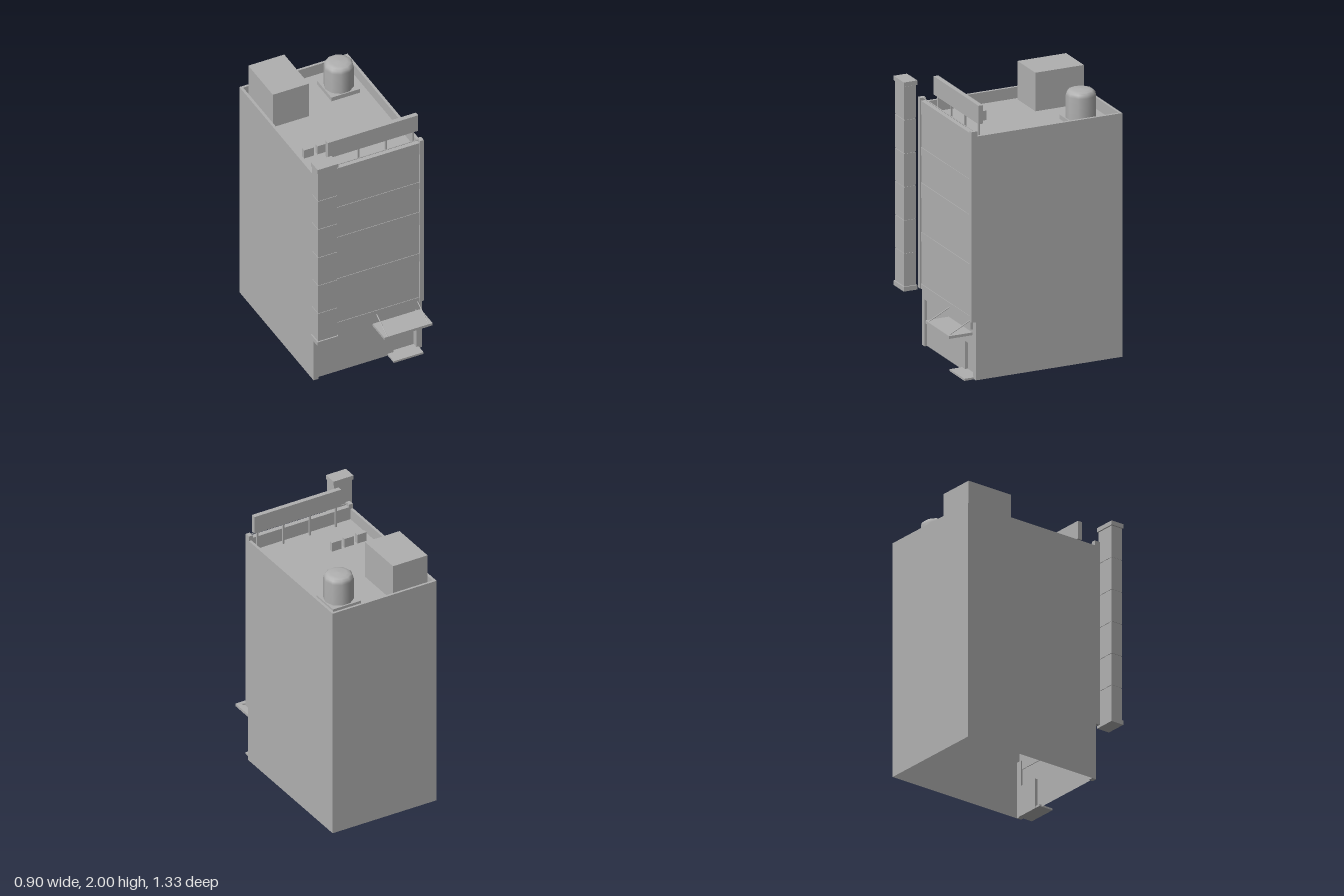
import * as THREE from 'three';

const grey = new THREE.MeshStandardMaterial({ color: 0xb0b0b0, side: THREE.DoubleSide });
grey.name = 'concrete grey';

export function createModel() {
  const root = new THREE.Group();
  root.name = 'officeBuilding';

  const add = (name, geo, parent = root) => {
    const m = new THREE.Mesh(geo, grey);
    m.name = name;
    parent.add(m);
    return m;
  };
  // box given by its extents
  const box = (name, x0, x1, y0, y1, z0, z1, parent) => {
    const m = add(name, new THREE.BoxGeometry(x1 - x0, y1 - y0, z1 - z0), parent);
    m.position.set((x0 + x1) / 2, (y0 + y1) / 2, (z0 + z1) / 2);
    return m;
  };
  // thin round bar between two points
  const bar = (name, a, b, r, parent) =>
    add(name, new THREE.TubeGeometry(new THREE.LineCurve3(a, b), 1, r, 6), parent);
  // upright single-sheet wall between two ground points
  const wall = (name, xa, za, xb, zb, y0, y1) => {
    const m = add(name, new THREE.PlaneGeometry(Math.hypot(xb - xa, zb - za), y1 - y0));
    m.position.set((xa + xb) / 2, (y0 + y1) / 2, (za + zb) / 2);
    m.rotation.y = Math.atan2(za - zb, xb - xa);
    return m;
  };

  const L = -0.39, R = 0.45, back = -0.665, front = 0.465, deck = 1.7, top = 1.783;

  // Hollow shell, open underneath
  wall('backWall', R, back, L, back, 0, deck);
  wall('rightWall', L, back, L, front, 0, deck);
  wall('leftWall', R, front, R, back, 0, deck);
  const roof = add('roofDeck', new THREE.PlaneGeometry(R - L, front - back));
  roof.rotation.x = -Math.PI / 2;
  roof.position.set((L + R) / 2, deck, (front + back) / 2);

  // Parapet on the back and sides
  box('backParapet', L, R, deck, top, back, back + 0.018);
  box('rightParapet', L, L + 0.02, deck, top, back + 0.018, 0.453);
  box('leftParapet', R - 0.02, R, deck, top, back + 0.018, 0.453);

  // Upper facade: projecting bands with shallow window strips between
  const facade = new THREE.Group();
  facade.name = 'facade';
  root.add(facade);
  const edges = [0.425, 0.46, 0.77, 0.84, 1.09, 1.2, 1.4, 1.46, 1.7, 1.8];
  for (let i = 0; i < edges.length - 1; i++) {
    const strip = i % 2 === 1;
    box(strip ? 'windowStrip' : 'facadeBand', -0.357, 0.418, edges[i], edges[i + 1],
      0.453, strip ? 0.486 : 0.49, facade);
  }
  for (const [x0, x1] of [[L, -0.357], [0.418, R]]) {
    box('facadePilaster', x0, x1, 0.425, 1.82, 0.453, 0.496, facade);
  }
  bar('parapetRail', new THREE.Vector3(-0.36, 1.82, 0.475), new THREE.Vector3(0.42, 1.82, 0.475), 0.003, facade);

  // Ground floor: piers, lintel, shop wall and recessed door
  box('groundPier', L, -0.35, 0, 0.425, 0.43, front);
  box('groundPier', 0.407, R, 0, 0.425, 0.43, front);
  box('shopLintel', -0.35, 0.407, 0.36, 0.432, 0.44, 0.485);
  wall('shopWall', -0.35, 0.445, 0.24, 0.445, 0, 0.36);
  wall('shopWallOverDoor', 0.24, 0.445, 0.407, 0.445, 0.225, 0.36);
  wall('door', 0.24, 0.42, 0.407, 0.42, 0, 0.225);
  wall('doorJamb', 0.24, 0.42, 0.24, 0.445, 0, 0.225);
  wall('doorJamb', 0.407, 0.445, 0.407, 0.42, 0, 0.225);
  box('doorHead', 0.24, 0.407, 0.222, 0.226, 0.42, 0.445);
  box('doorStep', 0.195, 0.425, 0, 0.015, 0.425, 0.54);

  // Canopy hung on two rods
  box('canopy', 0.06, 0.433, 0.328, 0.348, 0.482, 0.662);
  for (const x of [0.087, 0.405]) {
    bar('canopyRod', new THREE.Vector3(x, 0.345, 0.65), new THREE.Vector3(x, 0.428, 0.486), 0.004);
  }

  // Vertical sign tower: stacked panels on a core with two end caps
  const tower = new THREE.Group();
  tower.name = 'signTower';
  root.add(tower);
  const seams = [0.48, 0.725, 0.967, 1.21, 1.455, 1.7, 1.945];
  box('signCore', -0.444, -0.303, 0.48, 1.945, 0.56, 0.643, tower);
  for (let i = 0; i < seams.length - 1; i++) {
    box('signPanel', -0.447, -0.3, seams[i] + 0.003, seams[i + 1] - 0.003, 0.556, 0.647, tower);
  }
  box('signCapBottom', -0.454, -0.293, 0.447, 0.48, 0.55, 0.653, tower);
  box('signCapTop', -0.454, -0.293, 1.945, 1.977, 0.55, 0.653, tower);

  // Rooftop billboard on posts
  box('billboard', -0.265, 0.436, 1.865, 2, 0.402, 0.437);
  for (const x of [-0.23, -0.02, 0.192, 0.404]) {
    box('billboardPost', x - 0.006, x + 0.006, deck, 1.865, 0.414, 0.426);
  }

  // Rooftop equipment
  box('stairHouse', -0.343, -0.064, deck, 1.982, -0.622, -0.248);
  for (let i = 0; i < 3; i++) {
    const x = -0.315 + i * 0.1025;
    box('airConditioner', x, x + 0.075, deck + 0.005, 1.775, 0.145, 0.174);
  }
  box('tankBase', 0.152, 0.375, deck, 1.732, -0.548, -0.327);
  const profile = [[0.106, 0], [0.106, 0.165], [0.1, 0.188], [0.085, 0.201], [0.06, 0.207], [0, 0.211]]
    .map(([r, y]) => new THREE.Vector2(r, y));
  const tank = add('waterTank', new THREE.LatheGeometry(profile, 10));
  tank.position.set(0.264, 1.732, -0.436);
  tank.rotation.y = Math.PI / 2;

  return root;
}
